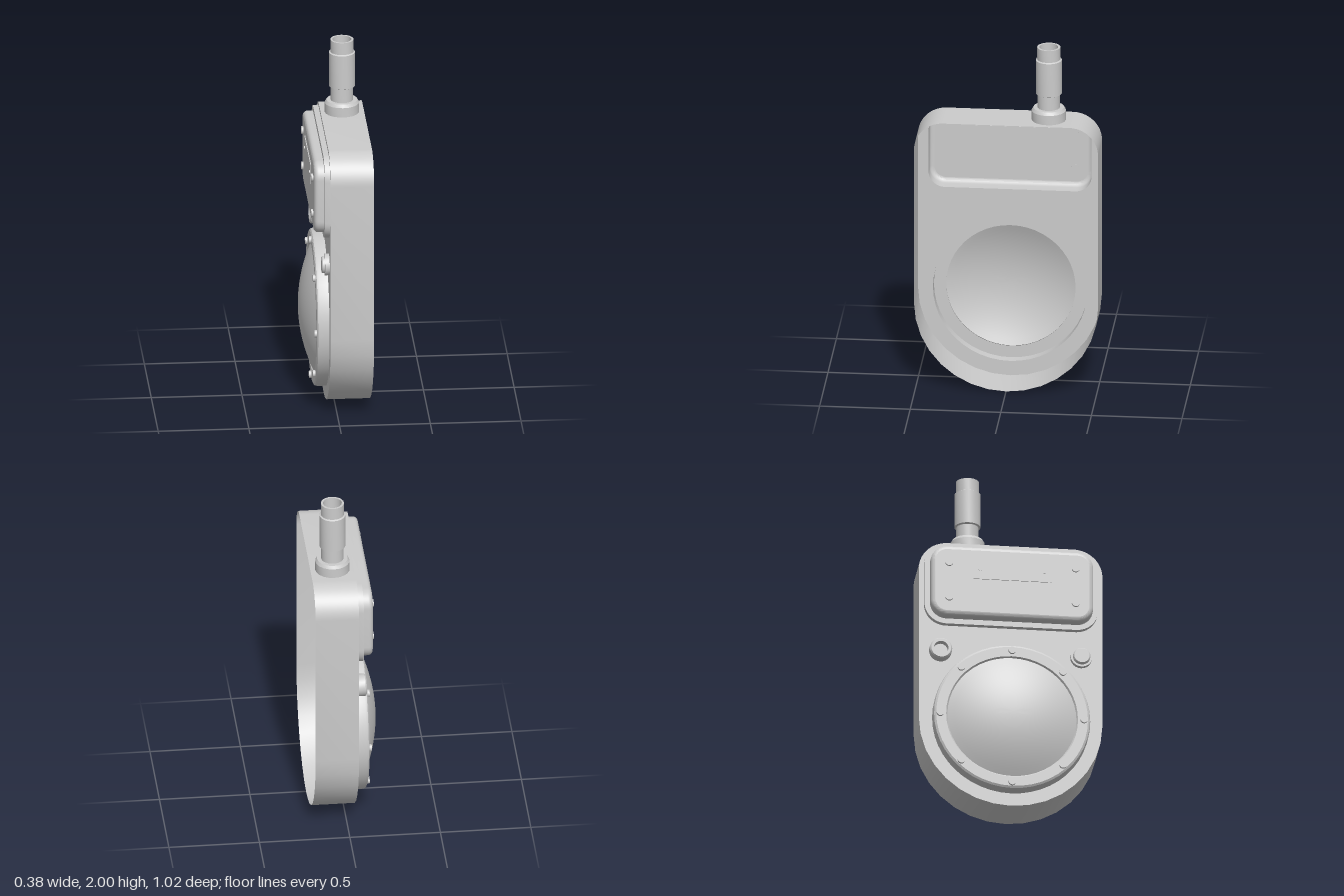
import * as THREE from 'three';
import { toCreasedNormals } from 'three/addons/utils/BufferGeometryUtils.js';

const mat = new THREE.MeshStandardMaterial({ color: 0xcccccc, side: THREE.DoubleSide });
const PLATE = 0.05, BACK = -0.19;             // depth of the face plate and of the open rim
const DOME_Y = 0.51, PANEL_Y = 1.312;

function part(parent, name, geo, x = 0, y = 0, z = 0) {
  const m = new THREE.Mesh(geo, mat);
  m.name = name;
  m.position.set(x, y, z);
  parent.add(m);
  return m;
}

// Rounded rectangle centred on the origin, from half sizes and corner radius
function roundRect(w, h, r) {
  const s = new THREE.Shape();
  s.absarc(w - r, h - r, r, 0, Math.PI / 2);
  s.absarc(-w + r, h - r, r, Math.PI / 2, Math.PI);
  s.absarc(-w + r, -h + r, r, Math.PI, Math.PI * 1.5);
  s.absarc(w - r, -h + r, r, Math.PI * 1.5, Math.PI * 2);
  return s;
}

// Closed outlines joined into a skin, each ring = [points, depth]
function loft(rings) {
  const pos = [];
  for (let k = 0; k < rings.length - 1; k++) {
    const [p, z0] = rings[k], [q, z1] = rings[k + 1];
    for (let i = 0; i < p.length; i++) {
      const j = (i + 1) % p.length;
      const a = [p[i].x, p[i].y, z0], b = [p[j].x, p[j].y, z0];
      const c = [q[j].x, q[j].y, z1], d = [q[i].x, q[i].y, z1];
      pos.push(...a, ...b, ...c, ...a, ...c, ...d);
    }
  }
  const g = new THREE.BufferGeometry();
  g.setAttribute('position', new THREE.Float32BufferAttribute(pos, 3));
  return toCreasedNormals(g, 0.6);
}

// Turned part from [radius, height] pairs, standing on y or pointing along z
function turned(pairs, segments, alongZ = true) {
  const g = new THREE.LatheGeometry(pairs.map(([r, h]) => new THREE.Vector2(r, h)), segments);
  if (alongZ) g.rotateX(Math.PI / 2);
  return toCreasedNormals(g, 0.5);
}

export function createModel() {
  const model = new THREE.Group();
  model.name = 'wallUnit';
  // Parts are laid out facing +z, then turned to face -x
  const body = new THREE.Group();
  body.name = 'body';
  body.rotation.y = -Math.PI / 2;
  model.add(body);

  // Housing: open-backed wall with round bottom and rounded top corners
  const W = 0.508, TOP = 1.573, R = 0.16;
  const outline = new THREE.Shape();
  outline.absarc(W - R, TOP - R, R, 0, Math.PI / 2);
  outline.absarc(-W + R, TOP - R, R, Math.PI / 2, Math.PI);
  outline.absarc(0, W, W, Math.PI, Math.PI * 2);
  const edge = outline.getPoints(8);
  part(body, 'housingWall', loft([[edge, BACK], [edge, PLATE]]));

  // Face plate, cut out behind the panel cover and the dome
  const face = new THREE.Shape(edge);
  const panelHole = roundRect(0.45, 0.21, 0.09).getPoints(6).map(p => new THREE.Vector2(p.x, p.y + PANEL_Y));
  face.holes.push(new THREE.Path(panelHole));
  face.holes.push(new THREE.Path().absarc(0, DOME_Y, 0.425, 0, Math.PI * 2, true));
  part(body, 'facePlate', new THREE.ShapeGeometry(face, 24), 0, 0, PLATE);

  // Panel cover: stepped flange and a hollow cover with a rounded front edge
  const panel = new THREE.Group();
  panel.name = 'panelCover';
  panel.position.y = PANEL_Y;
  body.add(panel);
  const rect = inset => roundRect(0.48 - inset, 0.24 - inset, 0.12 - inset).getPoints(6);
  part(panel, 'panelFlange', loft([[rect(0), PLATE], [rect(0), 0.08], [rect(0.03), 0.08]]));
  const rings = [[rect(0.03), PLATE]];
  const round = 0.025;
  for (let i = 0; i <= 5; i++) {
    const a = (i / 5) * Math.PI / 2;
    rings.push([rect(0.03 + round * (1 - Math.cos(a))), 0.135 - round + round * Math.sin(a)]);
  }
  part(panel, 'panelShell', loft(rings));
  part(panel, 'panelFront', new THREE.ShapeGeometry(new THREE.Shape(rect(0.03 + round))), 0, 0, 0.135);
  part(panel, 'namePlate', new THREE.BoxGeometry(0.43, 0.115, 0.006), 0, 0.07, 0.137);

  // Bolt heads and rivets
  const bolt = (parent, name, r, h, x, y, z) =>
    part(parent, name, new THREE.CylinderGeometry(r, r, h, 16).rotateX(Math.PI / 2), x, y, z + h / 2);
  for (const sx of [-1, 1]) {
    for (const sy of [-1, 1]) bolt(panel, 'panelBolt', 0.022, 0.012, sx * 0.35, sy * 0.105, 0.134);
    bolt(panel, 'namePlateRivet', 0.009, 0.005, sx * 0.18, 0.07, 0.139);
  }

  // Dome with its clamping ring
  const dome = new THREE.Group();
  dome.name = 'dome';
  dome.position.y = DOME_Y;
  body.add(dome);
  part(dome, 'clampRing', turned([[0.425, PLATE], [0.435, PLATE], [0.435, 0.1], [0.431, 0.112],
    [0.42, 0.118], [0.365, 0.118], [0.357, 0.11]], 48));
  part(dome, 'ringInside', turned([[0.425, PLATE], [0.425, 0.105], [0.357, 0.105]], 48));
  const lens = [];
  for (let i = 0; i <= 10; i++) {
    const r = 0.357 * (1 - i / 10);
    lens.push([r, 0.19 - 0.08 * (r / 0.357) ** 2]);
  }
  part(dome, 'domeLens', turned(lens, 48));
  for (let i = 0; i < 8; i++) {
    const a = i * Math.PI / 4;
    bolt(dome, 'ringBolt', 0.02, 0.014, Math.cos(a) * 0.398, Math.sin(a) * 0.398, 0.117);
  }

  // Hollow socket and closed button between panel and dome
  part(body, 'socket', turned([[0.062, 0], [0.062, 0.043], [0.055, 0.05], [0.04, 0.05],
    [0.04, 0.012], [0, 0.012]], 24), -0.39, 0.915, PLATE);
  part(body, 'button', turned([[0.06, 0], [0.06, 0.025], [0.048, 0.025], [0.048, 0.036],
    [0.042, 0.042], [0, 0.042]], 24), 0.39, 0.915, PLATE);

  // Cable gland and hollow conduit on top
  part(model, 'cableGland', turned([[0, 0], [0.095, 0], [0.095, 0.055], [0.085, 0.072],
    [0.062, 0.072]], 20, false), 0.068, TOP, -0.225);
  part(model, 'conduit', turned([[0.062, 0], [0.062, 0.15], [0.072, 0.155], [0.072, 0.352],
    [0.064, 0.357], [0.064, 0.427], [0.052, 0.427], [0.052, 0.3], [0, 0.3]], 24, false), 0.068, TOP, -0.225);

  return model;
}
